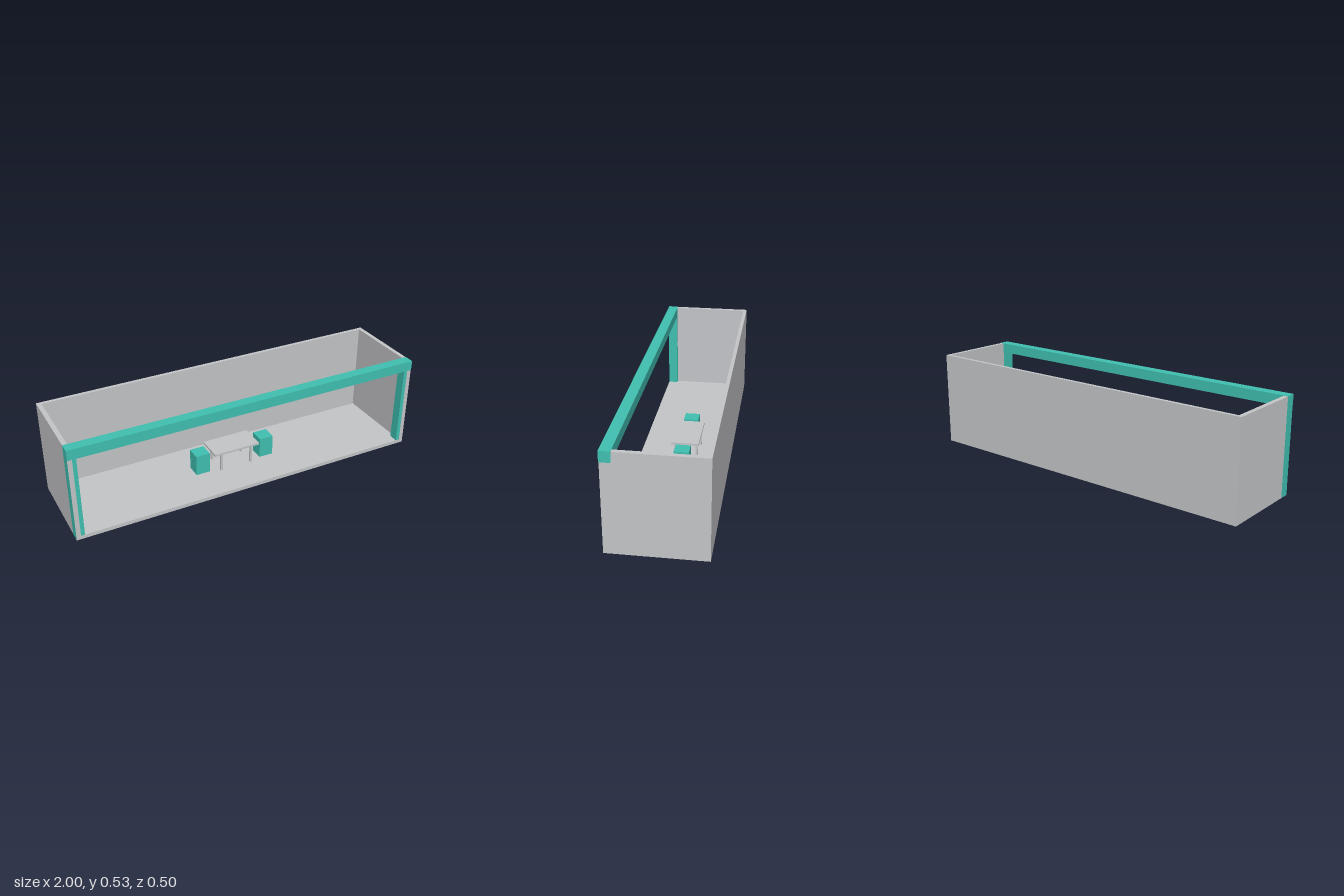
import * as THREE from 'three';

export function createModel() {
  const model = new THREE.Group();
  const grey = new THREE.MeshStandardMaterial({ color: 0xc5c6c9 });
  grey.name = 'light grey';
  const teal = new THREE.MeshStandardMaterial({ color: 0x40c1b2 });
  teal.name = 'teal';

  // Box given by its minimum and maximum corners
  const box = (name, material, [x0, y0, z0], [x1, y1, z1], parent = model) => {
    const mesh = new THREE.Mesh(new THREE.BoxGeometry(x1 - x0, y1 - y0, z1 - z0), material);
    mesh.position.set((x0 + x1) / 2, (y0 + y1) / 2, (z0 + z1) / 2);
    mesh.name = name;
    parent.add(mesh);
  };

  // Open-fronted room without a ceiling
  const floorY = 0.021, height = 0.533;
  box('floor', grey, [-1, 0, -0.25], [1, floorY, 0.25]);
  box('backWall', grey, [-0.976, floorY, -0.25], [0.976, height, -0.23]);
  box('rightWall', grey, [-1, floorY, -0.25], [-0.976, height, 0.25]);
  box('leftWall', grey, [0.976, floorY, -0.25], [1, height, 0.25]);

  // Teal frame round the open front
  box('frontBeam', teal, [-1.0005, 0.478, 0.195], [1.0005, 0.5345, 0.252]);
  box('rightPost', teal, [-1.0005, 0.001, 0.195], [-0.955, 0.478, 0.2495]);
  box('leftPost', teal, [0.955, 0.001, 0.195], [0.9995, 0.478, 0.2495]);

  // Table with four legs
  const table = new THREE.Group();
  table.name = 'table';
  table.position.set(-0.002, 0, -0.009);
  model.add(table);
  box('tableTop', grey, [-0.137, 0.128, -0.075], [0.137, 0.14, 0.075], table);
  for (const x of [-0.092, 0.092]) {
    for (const z of [-0.06, 0.06]) {
      box('tableLeg', grey, [x - 0.006, floorY, z - 0.006], [x + 0.006, 0.128, z + 0.006], table);
    }
  }

  // Block stools at either end of the table
  for (const x of [-0.199, 0.197]) {
    box('stool', teal, [x - 0.041, floorY, -0.045], [x + 0.041, 0.14, 0.037]);
  }
  return model;
}
